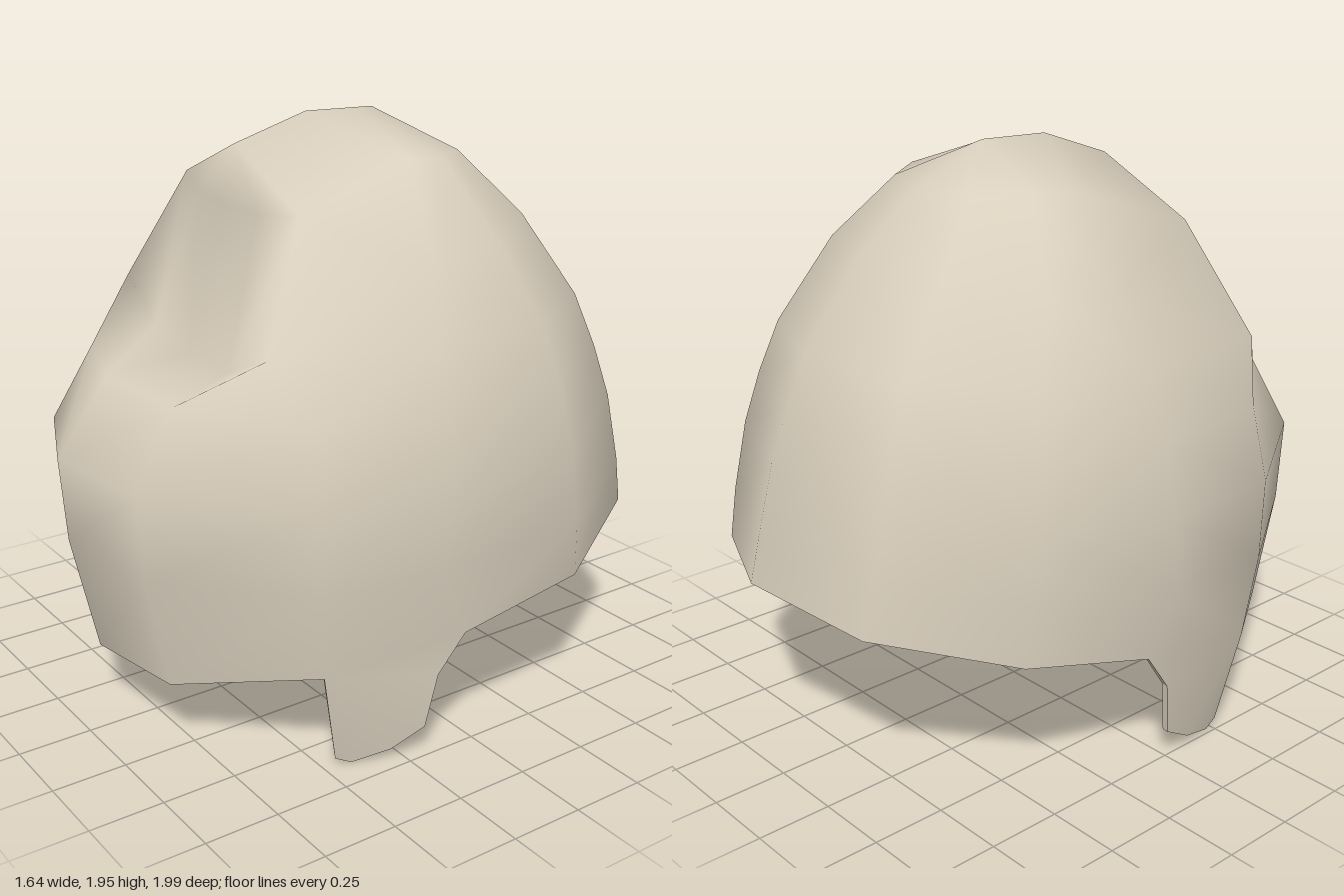
import * as THREE from 'three';
import { mergeVertices } from 'three/addons/utils/BufferGeometryUtils.js';

// Four profiles of the left half, each running from crown to rim.
// Front and back lie on the centre line.
const front = [[1.95, 0.12], [1.865, 0.37], [1.68, 0.415], [1.2, 0.545], [1.165, 0.83], [0.91, 1.005], [0.63, 0.985], [0.232, 0.9]]
  .map(([y, z]) => [0, y, z]);
const corner = [
  [0, 1.95, 0.12], [0, 1.865, 0.37], [0.437, 1.71, 0.36], [0.58, 1.33, 0.54],
  [0.7, 1.14, 0.45], [0.76, 0.9, 0.465], [0.755, 0.63, 0.46], [0.725, 0.34, 0.43],
];
const side = [
  [0, 1.95, 0.12], [0.375, 1.84, -0.05], [0.59, 1.55, -0.02], [0.7, 1.33, 0.03],
  [0.77, 1.12, 0.03], [0.81, 0.88, 0.05], [0.815, 0.65, 0.07], [0.795, 0.42, -0.03],
];
const back = [[1.95, -0.12], [1.82, -0.37], [1.64, -0.57], [1.35, -0.78], [1.18, -0.85], [1.02, -0.91], [0.78, -0.97], [0.63, -1.005]]
  .map(([y, z]) => [0, y, z]);

const mix = (a, b, t) => a + (b - a) * t;

// One cross-section: the profiles plus the rounded points between them.
function ring(i) {
  const f = front[i], c = corner[i], s = side[i], b = back[i];
  const visor = [0.53 * c[0], mix(f[1], c[1], 0.15), mix(f[2], c[2], 0.21)];
  const rearSide = [0.95 * s[0], mix(s[1], b[1], 0.4), 0.47 * b[2]];
  const rear = [0.59 * s[0], mix(s[1], b[1], 0.8), 0.86 * b[2]];
  return [f, visor, c, s, rearSide, rear, b];
}

// Lower outline of the cheek guard, hung between the corner and the side.
const cheek = [
  corner.at(-1), [0.68, 0.02, 0.37], [0.695, 0, 0.32], [0.735, 0.035, 0.2],
  [0.76, 0.1, 0.09], [0.785, 0.29, 0.06], side.at(-1),
];

// Outer skin: left half, then its mirror, welded together.
function outerSkin() {
  const rings = front.map((_, i) => ring(i));
  const tris = [];
  for (let r = 0; r < rings.length - 1; r++) {
    for (let c = 0; c < 6; c++) {
      const a = rings[r][c], b = rings[r][c + 1], d = rings[r + 1][c], e = rings[r + 1][c + 1];
      tris.push([a, d, b], [d, e, b]);
    }
  }
  for (let i = 1; i < cheek.length - 1; i++) tris.push([cheek[0], cheek[i], cheek[i + 1]]);
  const flip = ([x, y, z]) => [-x, y, z];
  const all = tris.concat(tris.map(([a, b, c]) => [flip(a), flip(c), flip(b)]));

  let geo = new THREE.BufferGeometry();
  geo.setAttribute('position', new THREE.Float32BufferAttribute(all.flat(2), 3));
  geo = mergeVertices(geo, 0.001);
  // drop the triangles that collapse at the crown
  const src = geo.index.array, index = [];
  for (let i = 0; i < src.length; i += 3) {
    const [a, b, c] = [src[i], src[i + 1], src[i + 2]];
    if (a !== b && b !== c && c !== a) index.push(a, b, c);
  }
  geo.setIndex(index);
  geo.computeVertexNormals();
  return geo;
}

// Inner lining: the skin pushed inward and turned inside out.
function innerSkin(outer, thickness) {
  const geo = outer.clone();
  const p = geo.attributes.position, n = outer.attributes.normal;
  for (let i = 0; i < p.count; i++) {
    p.setXYZ(i, p.getX(i) - n.getX(i) * thickness, p.getY(i) - n.getY(i) * thickness, p.getZ(i) - n.getZ(i) * thickness);
  }
  geo.setIndex(Array.from(outer.index.array).reverse());
  geo.computeVertexNormals();
  return geo;
}

// Rim: a strip joining both skins along every open edge.
function rimStrip(outer, inner) {
  const idx = outer.index.array, edges = new Set(), points = [];
  const eachEdge = (fn) => {
    for (let i = 0; i < idx.length; i += 3) {
      for (let k = 0; k < 3; k++) fn(idx[i + k], idx[i + (k + 1) % 3]);
    }
  };
  const at = (geo, i) => new THREE.Vector3().fromBufferAttribute(geo.attributes.position, i).toArray();
  eachEdge((a, b) => edges.add(a + '_' + b));
  eachEdge((a, b) => {
    if (edges.has(b + '_' + a)) return;
    const oa = at(outer, a), ob = at(outer, b), ia = at(inner, a), ib = at(inner, b);
    points.push(...oa, ...ia, ...ob, ...ob, ...ia, ...ib);
  });
  const geo = new THREE.BufferGeometry();
  geo.setAttribute('position', new THREE.Float32BufferAttribute(points, 3));
  geo.computeVertexNormals();
  return geo;
}

export function createModel() {
  const material = new THREE.MeshStandardMaterial({ color: 0xd9cfbd });
  const helmet = new THREE.Group();
  helmet.name = 'helmet';
  const add = (name, geo) => {
    const mesh = new THREE.Mesh(geo, material);
    mesh.name = name;
    helmet.add(mesh);
  };
  const outer = outerSkin();
  const inner = innerSkin(outer, 0.02);
  add('helmetShell', outer);
  add('innerLining', inner);
  add('rimEdge', rimStrip(outer, inner));

  // the helmet is turned slightly to its right
  helmet.rotation.y = -0.13;
  const model = new THREE.Group();
  model.name = 'model';
  model.add(helmet);
  return model;
}
